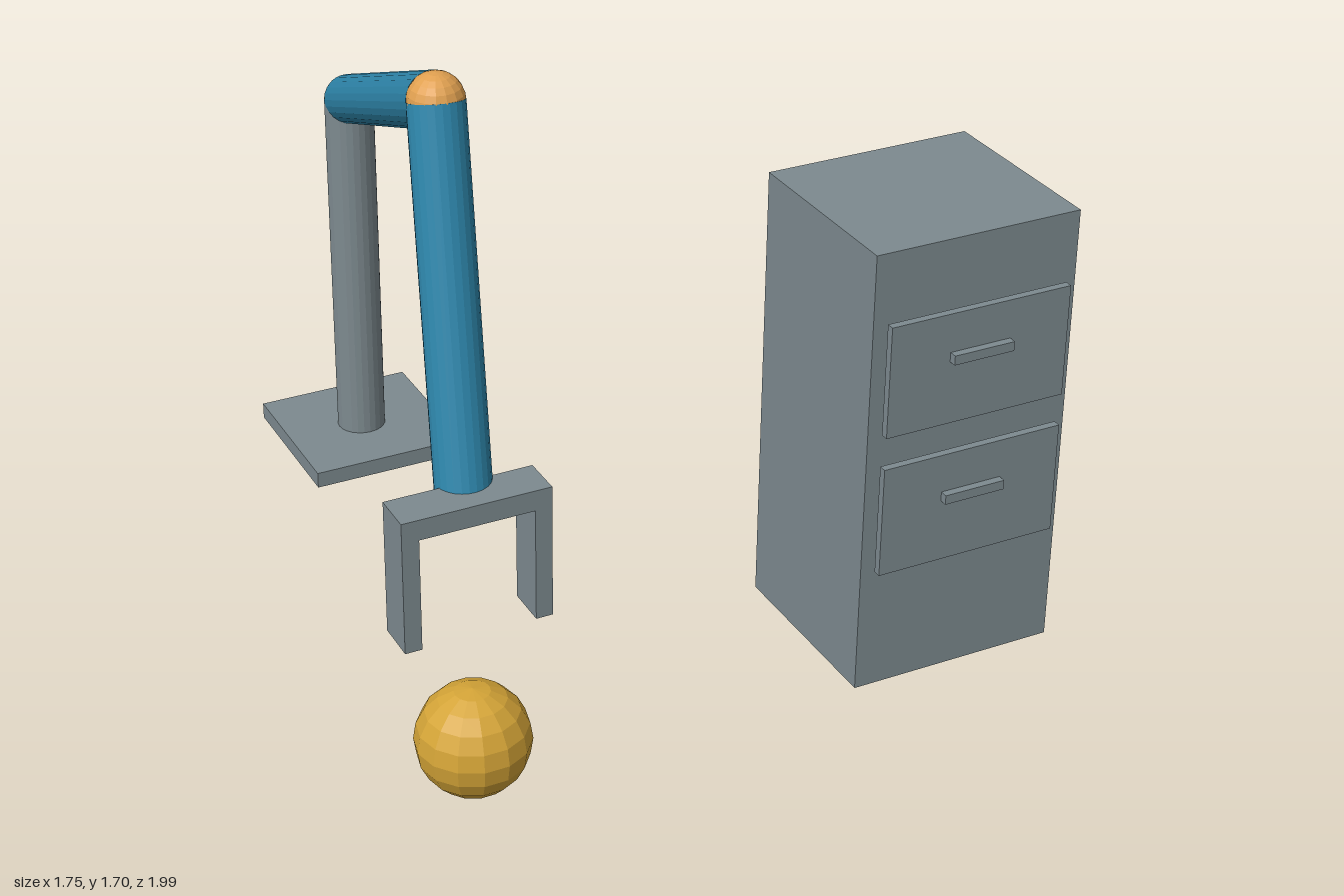
import * as THREE from 'three';

export function createModel() {
  const model = new THREE.Group();
  const mat = (name, color) => {
    const m = new THREE.MeshStandardMaterial({ color, flatShading: true });
    m.name = name;
    return m;
  };
  const grey = mat('steel grey', 0x7d8a8f);
  const blue = mat('arm blue', 0x2e86ab);
  const orange = mat('joint orange', 0xe0a050);
  const gold = mat('ball gold', 0xd4a437);

  const add = (name, geometry, material, position, parent = model) => {
    const mesh = new THREE.Mesh(geometry, material);
    mesh.name = name;
    mesh.position.copy(position);
    parent.add(mesh);
    return mesh;
  };
  const group = (name) => {
    const g = new THREE.Group();
    g.name = name;
    model.add(g);
    return g;
  };
  // Box given by its extents along each axis
  const box = (name, [x0, x1], [y0, y1], [z0, z1], parent) =>
    add(name, new THREE.BoxGeometry(x1 - x0, y1 - y0, z1 - z0), grey,
      new THREE.Vector3((x0 + x1) / 2, (y0 + y1) / 2, (z0 + z1) / 2), parent);
  // Cylinder running between two points
  const R = 0.067;
  const limb = (name, a, b, material, parent) => {
    const dir = b.clone().sub(a);
    const mesh = add(name, new THREE.CylinderGeometry(R, R, dir.length(), 24), material,
      a.clone().add(b).multiplyScalar(0.5), parent);
    mesh.quaternion.setFromUnitVectors(new THREE.Vector3(0, 1, 0), dir.normalize());
  };

  // Robot arm: base, post, two limbs and their joints
  const arm = group('robotArm');
  const foot = new THREE.Vector3(-0.317, 0.04, -0.782);
  const shoulder = new THREE.Vector3(-0.317, 1.047, -0.782);
  const elbow = new THREE.Vector3(-0.627, 1.628, 0.565);
  const wrist = new THREE.Vector3(-0.68, 0.75, 0.8);
  box('basePlate', [-0.535, -0.1], [0, 0.045], [-1, -0.565], arm);
  limb('post', foot, shoulder, grey, arm);
  limb('upperArm', shoulder, elbow, blue, arm);
  limb('forearm', elbow, wrist, blue, arm);
  const joint = new THREE.SphereGeometry(R, 16, 12);
  add('shoulderJoint', joint, orange, shoulder, arm);
  add('elbowJoint', joint, orange, elbow, arm);
  add('wristPin', new THREE.SphereGeometry(0.035, 12, 8), grey, wrist, arm);

  // Gripper: crossbar with two mirrored fingers
  const gripper = group('gripper');
  const gx = -0.695, gz = [0.803, 0.908];
  box('crossbar', [gx - 0.183, gx + 0.183], [0.748, 0.8], gz, gripper);
  for (const s of [-1, 1]) {
    const c = gx + s * 0.162;
    box(s < 0 ? 'rightFinger' : 'leftFinger', [c - 0.021, c + 0.021], [0.46, 0.748], gz, gripper);
  }

  // Ball under the gripper
  add('ball', new THREE.SphereGeometry(0.14, 14, 10), gold, new THREE.Vector3(gx, 0.14, 0.858));

  // Cabinet with two drawers and handles
  const cabinet = group('cabinet');
  box('cabinetBody', [0.313, 0.873], [0, 1.195], [0.4, 0.905], cabinet);
  for (const [name, y] of [['lower', 0.486], ['upper', 0.868]]) {
    box(name + 'DrawerFront', [0.345, 0.84], [y - 0.148, y + 0.148], [0.917, 0.937], cabinet);
    box(name + 'DrawerHandle', [0.51, 0.676], [y + 0.02, y + 0.045], [0.937, 0.957], cabinet);
  }

  return model;
}
